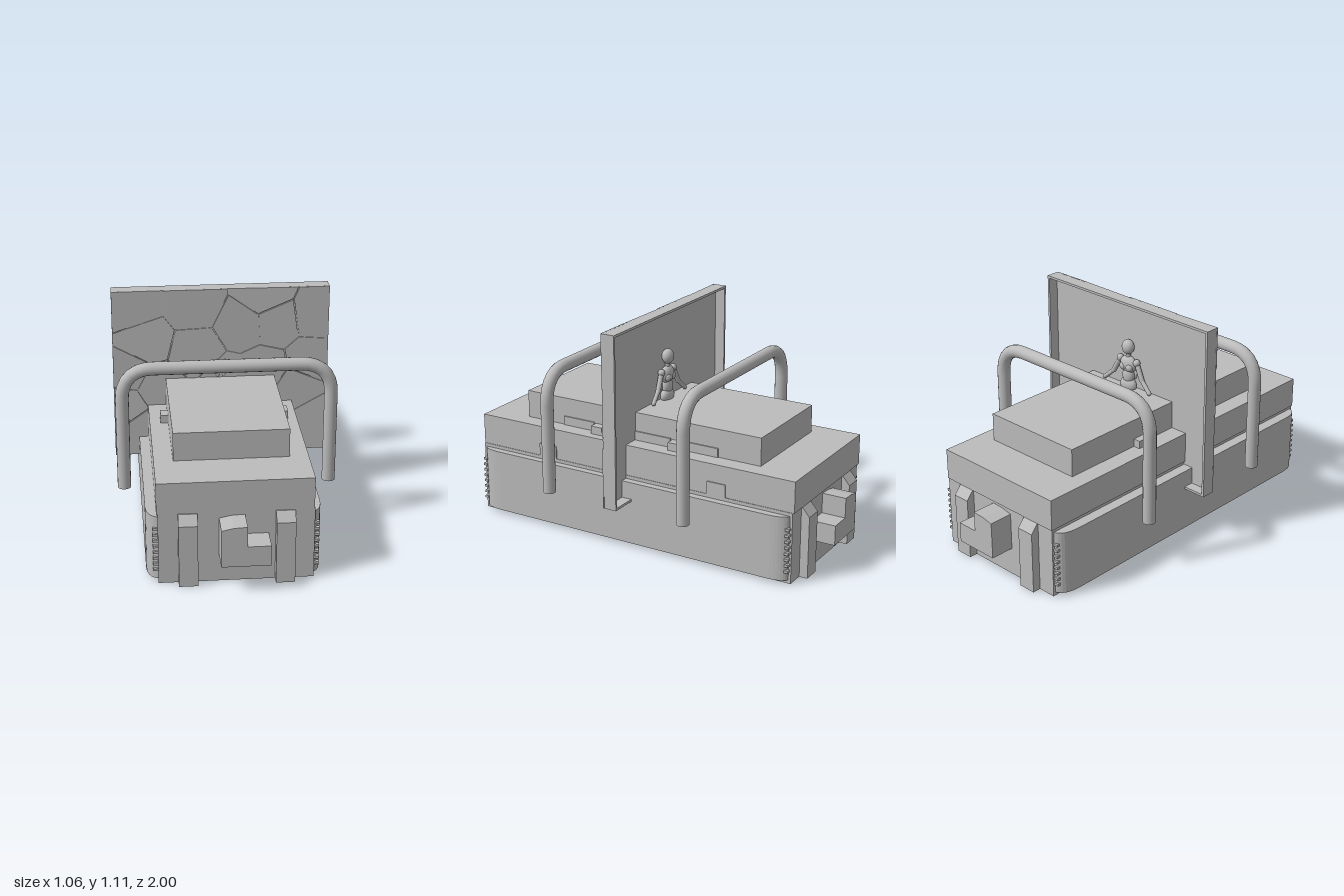
import * as THREE from 'three';

const metal = new THREE.MeshStandardMaterial({ color: 0xbcbcbc });
metal.name = 'plain grey';

export function createModel() {
  const model = new THREE.Group();

  const add = (name, geometry, parent = model) => {
    const mesh = new THREE.Mesh(geometry, metal);
    mesh.name = name;
    parent.add(mesh);
    return mesh;
  };
  // Box given by its limits on each axis
  const box = (name, x0, x1, y0, y1, z0, z1, parent) => {
    const m = add(name, new THREE.BoxGeometry(x1 - x0, y1 - y0, z1 - z0), parent);
    m.position.set((x0 + x1) / 2, (y0 + y1) / 2, (z0 + z1) / 2);
  };
  const extrude = (points, depth) => new THREE.ExtrudeGeometry(
    new THREE.Shape(points.map(([x, y]) => new THREE.Vector2(x, y))),
    { depth, bevelEnabled: false });

  // Stepped body
  box('lowerBody', -0.357, 0.357, 0, 0.355, -0.88, 0.88);
  box('middleSlab', -0.363, 0.354, 0.355, 0.51, -0.887, 0.88);
  box('topBox', -0.273, 0.265, 0.51, 0.65, -0.665, 0.66);

  // Rails and stops beside the top box
  for (const [z0, z1] of [[-0.44, -0.26], [-0.18, 0.18], [0.26, 0.44]])
    box('sideRail', 0.262, 0.272, 0.51, 0.555, z0, z1);
  for (const z of [-0.22, 0.22]) {
    box('stopLeft', 0.265, 0.31, 0.51, 0.55, z - 0.032, z + 0.032);
    box('stopRight', -0.31, -0.27, 0.51, 0.55, z - 0.032, z + 0.032);
  }
  for (const z of [-0.48, 0.48])
    box('sidePlate', 0.35, 0.36, 0.34, 0.42, z - 0.05, z + 0.05);

  // Side skirts with rounded ends
  for (const [s, inner, outer] of [[1, 0.35, 0.393], [-1, 0.35, 0.41]]) {
    const plan = new THREE.Shape();
    plan.moveTo(inner, -0.87);
    plan.quadraticCurveTo(outer, -0.86, outer, -0.76);
    plan.lineTo(outer, 0.76);
    plan.quadraticCurveTo(outer, 0.86, inner, 0.87);
    plan.closePath();
    const g = new THREE.ExtrudeGeometry(plan, { depth: 0.32, bevelEnabled: false, curveSegments: 8 });
    g.rotateX(-Math.PI / 2);
    if (s < 0) g.rotateY(Math.PI);
    g.translate(0, 0.018, 0);
    add('sideSkirt', g);
  }

  // Parts repeated at both ends
  for (const end of [1, -1]) {
    // Upright posts with a chamfered top
    for (const x of [-0.222, 0.222]) {
      const g = extrude([[0.86, 0], [0.922, 0], [0.922, 0.31], [0.885, 0.354], [0.86, 0.354]], 0.088);
      g.rotateY(-Math.PI / 2);            // profile axis becomes z, depth becomes -x
      g.translate(0.044, 0, 0);
      if (end < 0) g.rotateY(Math.PI);
      add('endPost', g).position.x = x;
    }
    // L-shaped coupler
    const c = extrude([[-0.08, 0.14], [0.146, 0.14], [0.146, 0.24], [0.038, 0.24],
      [0.038, 0.34], [-0.025, 0.337], [-0.08, 0.325]], 0.14);
    add('coupler', c).position.z = end > 0 ? 0.86 : -1;
    // Ribs at the skirt ends
    for (const s of [1, -1]) for (let i = 0; i < 8; i++)
      box('endRib', s * 0.368 - 0.012, s * 0.368 + 0.012, 0.06 + i * 0.03, 0.072 + i * 0.03,
        end * 0.864 - 0.01, end * 0.864 + 0.01);
  }

  // Tubular hoops
  const V = (x, y) => new THREE.Vector3(x, y, 0);
  const path = new THREE.CurvePath();
  path.add(new THREE.LineCurve3(V(-0.495, 0.24), V(-0.495, 0.715)));
  path.add(new THREE.QuadraticBezierCurve3(V(-0.495, 0.715), V(-0.485, 0.84), V(-0.365, 0.852)));
  path.add(new THREE.LineCurve3(V(-0.365, 0.852), V(0.365, 0.852)));
  path.add(new THREE.QuadraticBezierCurve3(V(0.365, 0.852), V(0.485, 0.84), V(0.495, 0.715)));
  path.add(new THREE.LineCurve3(V(0.495, 0.715), V(0.495, 0.24)));
  for (const z of [0.378, -0.382]) {
    const hoop = new THREE.Group();
    hoop.name = 'hoop';
    hoop.position.z = z;
    add('hoopTube', new THREE.TubeGeometry(path, 60, 0.032, 16), hoop);
    for (const x of [-0.495, 0.495]) {
      const cap = add('hoopEnd', new THREE.CircleGeometry(0.032, 16), hoop);
      cap.rotation.x = Math.PI / 2;
      cap.position.set(x, 0.24, 0);
    }
    model.add(hoop);
  }

  // Upright panel, open at the back with a thin rim
  const W = 0.53, B = 0.24, T = 1.11;
  const panel = new THREE.Group();
  panel.name = 'panel';
  model.add(panel);
  box('panelPlate', -W, W, B, T, 0.02, 0.032, panel);
  box('panelRimTop', -W, W, T - 0.012, T, -0.033, 0.02, panel);
  box('panelRimBottom', -W, W, B, B + 0.012, -0.033, 0.02, panel);
  for (const s of [-1, 1])
    box('panelRimSide', s * (W - 0.006) - 0.006, s * (W - 0.006) + 0.006, B, T, -0.033, 0.02, panel);

  // Crazy paving on the panel front: cells nearest to each seed
  const seeds = [[-0.43, 1.03], [-0.13, 1.03], [0.21, 1.07], [0.47, 0.96], [0.1, 0.92],
    [-0.37, 0.85], [0.27, 0.93], [0.45, 0.73], [-0.12, 0.79], [0.21, 0.68], [0.03, 0.64],
    [-0.46, 0.69], [-0.31, 0.61], [-0.48, 0.51], [-0.38, 0.37], [0.38, 0.57],
    [0.47, 0.41], [-0.1, 0.5], [0.18, 0.42]];
  seeds.forEach(([sx, sy], i) => {
    let cell = [[-W, B], [W, B], [W, T], [-W, T]];
    seeds.forEach(([ox, oy], j) => {
      if (i === j) return;
      const nx = ox - sx, ny = oy - sy;
      const half = (nx * (ox + sx) + ny * (oy + sy)) / 2 - 0.0025 * Math.hypot(nx, ny);
      const side = ([x, y]) => x * nx + y * ny - half;
      const next = [];
      cell.forEach((p, k) => {
        const q = cell[(k + 1) % cell.length], a = side(p), b = side(q);
        if (a <= 0) next.push(p);
        if (a * b < 0) next.push([p[0] + (q[0] - p[0]) * a / (a - b), p[1] + (q[1] - p[1]) * a / (a - b)]);
      });
      cell = next;
    });
    const g = extrude(cell.map(([x, y]) => [x - sx, y - sy]), 0.007);
    const stone = add('pavingStone', g, panel);
    stone.position.set(sx, sy, 0.031);
    stone.rotation.set(0.02 * Math.sin(i * 2.3), 0.02 * Math.cos(i * 1.7), 0);
  });

  // Small figure set into the back of the panel
  const figure = new THREE.Group();
  figure.name = 'figure';
  model.add(figure);
  const ball = (name, x, y, z, rx, ry, rz) => {
    const m = add(name, new THREE.SphereGeometry(1, 20, 14), figure);
    m.position.set(x, y, z);
    m.scale.set(rx, ry, rz);
  };
  const limb = (name, a, b, r) => {
    const p = new THREE.Vector3(...a), q = new THREE.Vector3(...b);
    const m = add(name, new THREE.CapsuleGeometry(r, p.distanceTo(q), 6, 12), figure);
    m.position.copy(p).add(q).multiplyScalar(0.5);
    m.quaternion.setFromUnitVectors(new THREE.Vector3(0, 1, 0), q.sub(p).normalize());
  };
  ball('head', 0, 0.868, -0.003, 0.034, 0.038, 0.029);
  limb('neck', [0, 0.81, 0], [0, 0.84, 0], 0.012);
  ball('chest', 0, 0.775, 0, 0.05, 0.045, 0.028);
  ball('waist', 0, 0.715, 0, 0.034, 0.05, 0.025);
  ball('hips', 0, 0.665, 0, 0.05, 0.04, 0.028);
  for (const s of [-1, 1]) {
    ball('bust', s * 0.021, 0.765, -0.017, 0.02, 0.02, 0.015);
    ball('shoulder', s * 0.055, 0.795, 0, 0.018, 0.018, 0.018);
    limb('upperArm', [s * 0.06, 0.785, 0], [s * 0.095, 0.715, -0.005], 0.013);
    limb('forearm', [s * 0.095, 0.715, -0.005], [s * 0.15, 0.665, -0.012], 0.011);
    ball('frontLobe', s * 0.021, 0.718, 0.028, 0.021, 0.028, 0.02);
    limb('frontStem', [s * 0.01, 0.69, 0.03], [s * 0.016, 0.66, 0.03], 0.011);
  }
  return model;
}
